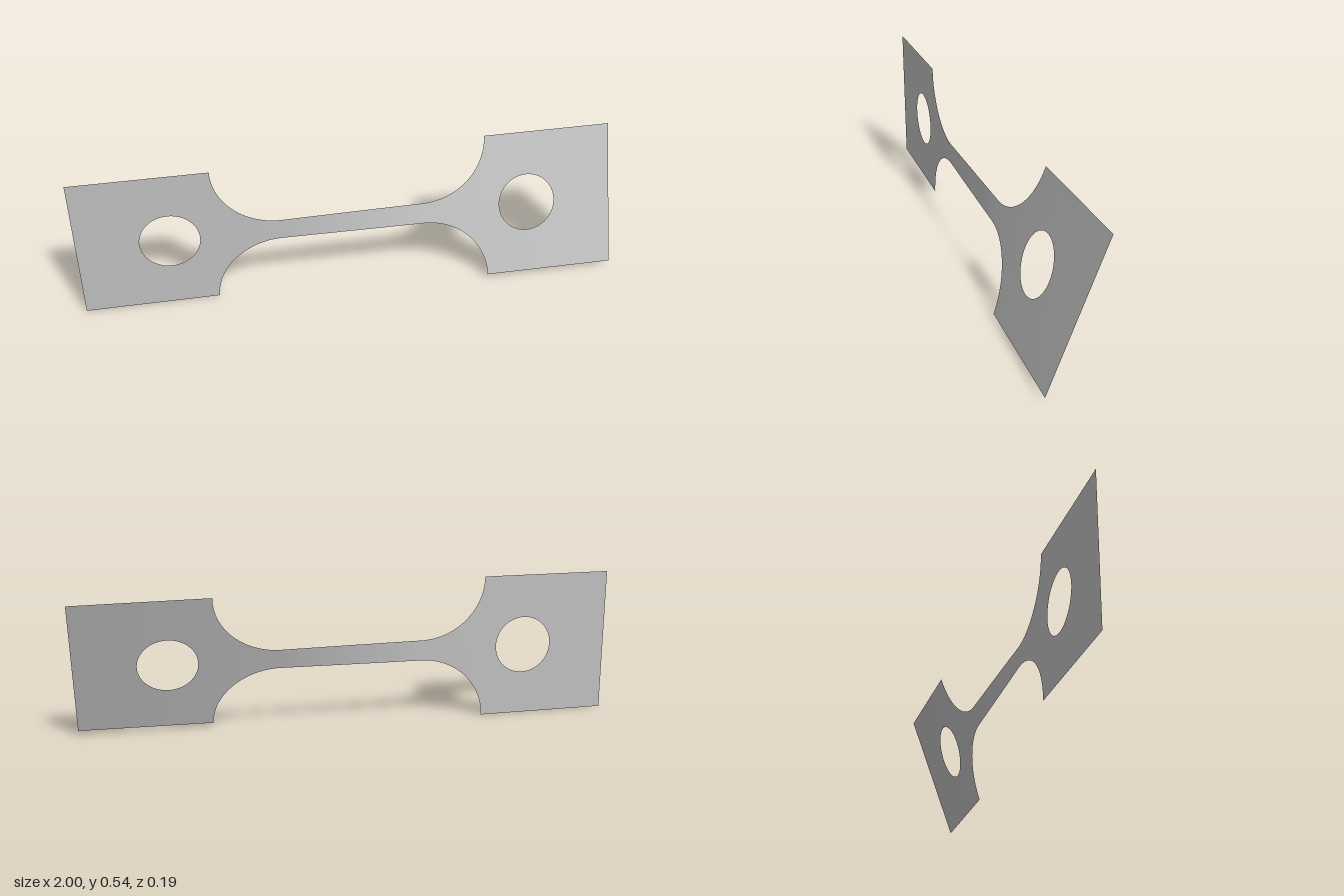
import * as THREE from 'three';
import { mergeVertices } from 'three/addons/utils/BufferGeometryUtils.js';

const MID_Y = 0.272, TAB_HALF = 0.271, NECK_HALF = 0.039;
const NECK_END = 0.265, TAB_START = 0.51;
const HOLE_X = 0.67, HOLE_R = 0.108;

// Twist in degrees along x, nearly all of it taken up by the neck
const TWIST = [[-1, -0.5], [-0.51, -0.3], [-0.27, 0.8], [0.27, 16.8], [0.51, 18.4], [1, 20.2]];
function twistAt(x) {
  let i = 0;
  while (i < TWIST.length - 2 && x > TWIST[i + 1][0]) i++;
  const [x0, a0] = TWIST[i], [x1, a1] = TWIST[i + 1];
  return THREE.MathUtils.degToRad(a0 + (a1 - a0) * (x - x0) / (x1 - x0));
}

// Sheet through columns of [x, inner half height, outer half height], mirrored above and below
function sheet(name, columns, material) {
  const pos = [], idx = [];
  for (const side of [1, -1]) {
    const base = pos.length / 3;
    columns.forEach(([x, inner, outer], i) => {
      const a = twistAt(x);
      for (const h of [inner, outer]) {
        const v = h * side;
        pos.push(x, MID_Y + v * Math.cos(a), -v * Math.sin(a));
      }
      if (i === 0) return;
      const p = base + 2 * (i - 1), q = p + 2;
      if (side > 0) idx.push(p, q, q + 1, p, q + 1, p + 1);
      else idx.push(p, q + 1, q, p, p + 1, q + 1);
    });
  }
  let geo = new THREE.BufferGeometry();
  geo.setAttribute('position', new THREE.Float32BufferAttribute(pos, 3));
  geo.setIndex(idx);
  geo = mergeVertices(geo, 1e-6);
  geo.computeVertexNormals();
  const mesh = new THREE.Mesh(geo, material);
  mesh.name = name;
  return mesh;
}

export function createModel() {
  const group = new THREE.Group();
  group.name = 'twistedTestStrip';
  const steel = new THREE.MeshStandardMaterial({ color: 0xc0c0c0, side: THREE.DoubleSide });
  steel.name = 'plain grey metal';

  // Straight neck carrying the twist
  const neck = [];
  for (let i = 0; i <= 32; i++) neck.push([NECK_END * (i / 16 - 1), 0, NECK_HALF]);
  group.add(sheet('neck', neck, steel));

  for (const s of [-1, 1]) {
    const label = s > 0 ? 'left' : 'right';
    const ordered = (cols) => {
      const out = cols.map(([x, a, b]) => [x * s, a, b]);
      return s > 0 ? out : out.reverse();
    };

    // Rounded shoulder widening from neck to tab
    const shoulder = [];
    for (let i = 0; i <= 24; i++) {
      const t = (i / 24) * Math.PI / 2;
      shoulder.push([
        NECK_END + (TAB_START - NECK_END) * Math.sin(t), 0,
        NECK_HALF + (TAB_HALF - NECK_HALF) * (1 - Math.cos(t)),
      ]);
    }
    group.add(sheet(label + 'Shoulder', ordered(shoulder), steel));

    // Grip tab with a round hole
    const tab = [[TAB_START, 0, TAB_HALF]];
    for (let i = 0; i <= 32; i++) {
      const t = (i / 32) * Math.PI;
      tab.push([HOLE_X - HOLE_R * Math.cos(t), i % 32 ? HOLE_R * Math.sin(t) : 0, TAB_HALF]);
    }
    for (let i = 1; i <= 4; i++) {
      tab.push([THREE.MathUtils.lerp(HOLE_X + HOLE_R, 1, i / 4), 0, TAB_HALF]);
    }
    group.add(sheet(label + 'Tab', ordered(tab), steel));
  }
  return group;
}
